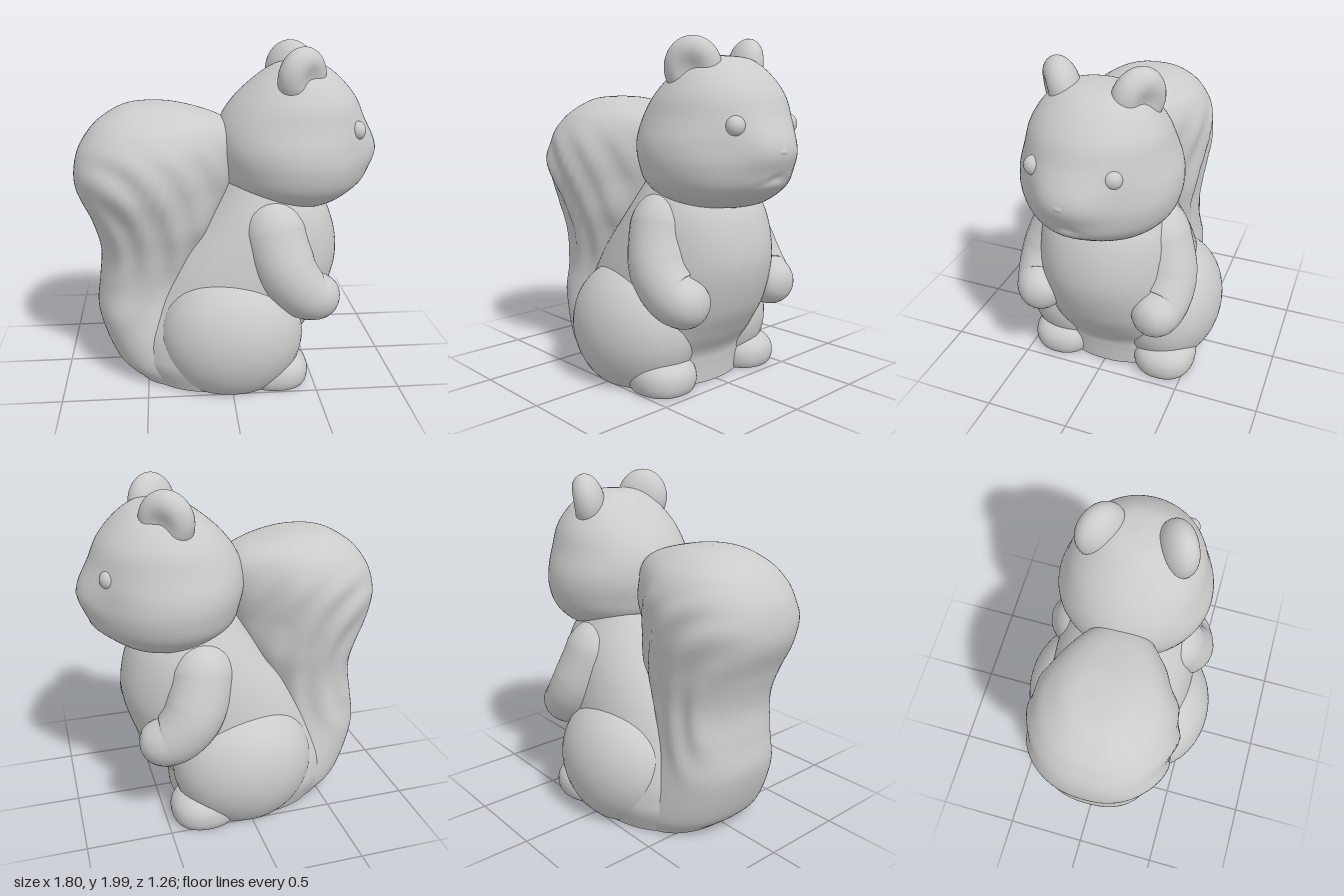
import * as THREE from 'three';
import { mergeVertices } from 'three/addons/utils/BufferGeometryUtils.js';

const material = new THREE.MeshStandardMaterial({ color: 0xcccccc, roughness: 0.8 });

function part(name, geometry, parent) {
  const mesh = new THREE.Mesh(geometry, material);
  mesh.name = name;
  parent.add(mesh);
  return mesh;
}

const bell = (d, width, power = 2) => Math.exp(-(Math.abs(d / width) ** power));
const squarer = (v, power) => Math.sign(v) * Math.abs(v) ** power;
const { smoothstep, lerp } = THREE.MathUtils;

// Smooth body from horizontal ovals: rows of [y, xMin, xMax, halfDepth, zCentre]
function loft(rows, { rule, power = 1, rings = 90, sides = 72 } = {}) {
  const along = new THREE.CatmullRomCurve3(rows.map(r => new THREE.Vector3(r[0], r[1], r[2])), false, 'catmullrom', 0.5);
  const across = new THREE.CatmullRomCurve3(rows.map(r => new THREE.Vector3(r[3], r[4] || 0, 0)), false, 'catmullrom', 0.5);
  const pos = [], index = [], levels = [];
  for (let i = 0; i <= rings; i++) levels.push([i / rings, 1]);
  // doubled end rings keep the caps crisp
  levels.unshift([0, 0], [0, 1]);
  levels.push([1, 1], [1, 0]);
  const p = new THREE.Vector3();
  for (const [t, s] of levels) {
    const a = along.getPoint(t), b = across.getPoint(t);
    for (let j = 0; j < sides; j++) {
      const w = j / sides * Math.PI * 2;
      const c = squarer(Math.cos(w), power), d = squarer(Math.sin(w), power);
      p.set((a.y + a.z) / 2 + s * (a.z - a.y) / 2 * c, Math.max(0, a.x), b.y + s * b.x * d);
      if (rule && s) rule(p, w);
      pos.push(p.x, p.y, p.z);
    }
  }
  for (let i = 0; i < levels.length - 1; i++) for (let j = 0; j < sides; j++) {
    const k = (j + 1) % sides, a = i * sides + j, b = i * sides + k;
    index.push(a, a + sides, b, b, a + sides, b + sides);
  }
  const g = new THREE.BufferGeometry();
  g.setAttribute('position', new THREE.Float32BufferAttribute(pos, 3));
  g.setIndex(index);
  g.computeVertexNormals();
  return g;
}

// Weld seams and smooth the normals
function smooth(g) {
  g.deleteAttribute('uv');
  g.deleteAttribute('normal');
  const merged = mergeVertices(g, 1e-5);
  merged.computeVertexNormals();
  return merged;
}

// Ellipsoid, flattened where it would pass below the ground
function blob(centre, radii, power = 1) {
  const g = new THREE.SphereGeometry(1, 40, 32);
  const p = g.attributes.position;
  for (let i = 0; i < p.count; i++) {
    const q = [p.getX(i), p.getY(i), p.getZ(i)].map((v, k) => centre[k] + radii[k] * squarer(v, power));
    p.setXYZ(i, q[0], Math.max(0, q[1]), q[2]);
  }
  return smooth(g);
}

// Round-ended limb whose radius changes along a curve
function limb(points, radii) {
  const curve = new THREE.CatmullRomCurve3(points.map(q => new THREE.Vector3(...q)));
  const steps = 48, sides = 24, length = curve.getLength();
  const g = new THREE.TubeGeometry(curve, steps, 1, sides);
  const p = g.attributes.position, v = new THREE.Vector3();
  for (let i = 0; i <= steps; i++) {
    const t = i / steps, f = t * (radii.length - 1), n = Math.min(radii.length - 2, Math.floor(f));
    let r = lerp(radii[n], radii[n + 1], f - n);
    const c = Math.min(1, Math.min(t, 1 - t) * length / r);
    r *= Math.sqrt(1 - (1 - c) ** 2);
    const centre = curve.getPointAt(t);
    for (let j = 0; j <= sides; j++) {
      const k = i * (sides + 1) + j;
      v.fromBufferAttribute(p, k).sub(centre).multiplyScalar(r).add(centre);
      p.setXYZ(k, v.x, v.y, v.z);
    }
  }
  return smooth(g);
}

// Ear: a thick disc with a shallow cup on its outer face
function earGeometry() {
  const g = new THREE.SphereGeometry(1, 40, 28);
  const p = g.attributes.position;
  for (let i = 0; i < p.count; i++) {
    const x = p.getX(i), y = p.getY(i), z = p.getZ(i);
    const dip = z > 0 ? 0.05 * Math.exp(-(x * x + y * y) * 4) : 0;
    p.setXYZ(i, x * 0.16, y * 0.175, z * 0.11 - dip);
  }
  return smooth(g);
}

export function createModel() {
  const model = new THREE.Group();
  model.name = 'squirrel';

  // Torso with a full belly, spreading into a broad seat
  part('torso', loft([
    [0, -0.56, 0.4, 0.47], [0.12, -0.62, 0.41, 0.505], [0.2, -0.63, 0.43, 0.51], [0.32, -0.62, 0.515, 0.5],
    [0.5, -0.53, 0.62, 0.475], [0.75, -0.38, 0.68, 0.45], [1.0, -0.17, 0.63, 0.4],
    [1.2, -0.02, 0.5, 0.31],
  ], { power: 0.93 }), model);

  // Pear-shaped head; the rule draws out the blunt muzzle and presses in the mouth
  const head = new THREE.Group();
  head.name = 'head';
  model.add(head);
  const face = (q, w) => {
    if (Math.cos(w) <= 0) return;
    const z = q.z - 0.015;
    q.x += 0.075 * bell(z, 0.21, 3.5) * bell(q.y - 1.39, 0.14) + 0.03 * bell(z, 0.18) * bell(q.y - 1.2, 0.07);
    q.x -= 0.014 * bell(z, 0.09) * bell(q.y - 1.25 + Math.abs(z) * 0.4, 0.022);
  };
  part('skull', loft([
    [1.05, 0.4, 0.55, 0.1], [1.085, 0.16, 0.67, 0.29], [1.18, 0.0, 0.78, 0.405],
    [1.3, -0.05, 0.82, 0.45], [1.42, -0.07, 0.82, 0.45], [1.55, -0.045, 0.81, 0.41],
    [1.68, 0.04, 0.77, 0.365], [1.8, 0.17, 0.67, 0.28], [1.875, 0.29, 0.56, 0.17],
    [1.895, 0.42, 0.43, 0.005],
  ], { rule: face }), head);
  part('nose', blob([0.875, 1.385, 0.025], [0.025, 0.025, 0.045]), head);

  for (const side of [1, -1]) {
    const label = side > 0 ? 'Left' : 'Right';
    part('eye' + label, blob([0.735, 1.52, 0.015 + side * 0.215], [0.05, 0.055, 0.055]), head);
    const ear = part('ear' + label, earGeometry(), head);
    ear.position.set(0.41, 1.82, side * 0.215);
    ear.rotation.set(side * 0.15, side > 0 ? 0.6 : Math.PI - 0.6, 0);

    // Arm resting on the belly
    part('arm' + label, limb(
      [[0.24, 1.13, side * 0.2], [0.26, 0.9, side * 0.3], [0.34, 0.69, side * 0.375], [0.47, 0.57, side * 0.37], [0.64, 0.57, side * 0.32]],
      [0.17, 0.195, 0.185, 0.16, 0.125]), model);

    // Haunch and foot
    part('thigh' + label, blob([0.005, 0.31, side * 0.3], [0.43, 0.4, 0.33]), model);
    part('foot' + label, blob([0.27, 0.07, side * 0.34 - 0.02], [0.2, 0.135, 0.19], 0.88), model);
  }

  // Bushy tail, tapering towards the back, with curved fur grooves on both sides
  const fur = (q, w) => {
    const d = Math.hypot(q.x + 0.85, (q.y - 0.8) * 0.75);
    const fade = smoothstep(q.y, 0.25, 0.8) * (1 - smoothstep(q.y, 1.3, 1.52));
    q.z *= 1 - 0.25 * smoothstep(q.x, -0.45, 0) * smoothstep(q.y, 0.9, 1.2);
    q.z += 0.012 * Math.sin(d * 38) * Math.sin(w) * fade;
  };
  part('tail', loft([
    [0, -0.58, 0.0, 0.38], [0.13, -0.71, 0.0, 0.4], [0.4, -0.8, -0.22, 0.355],
    [0.6, -0.785, -0.22, 0.33], [0.8, -0.77, -0.15, 0.34, 0.015], [1.0, -0.82, -0.06, 0.38, 0.03],
    [1.2, -0.9, 0.02, 0.42, 0.045], [1.38, -0.885, 0.06, 0.415, 0.04], [1.51, -0.81, 0.04, 0.36, 0.03],
    [1.59, -0.72, -0.06, 0.28, 0.02], [1.65, -0.6, -0.27, 0.16, 0.01], [1.667, -0.45, -0.44, 0.005, 0.01],
  ], { rule: fur, power: 0.85, rings: 110, sides: 80 }), model);

  return model;
}
